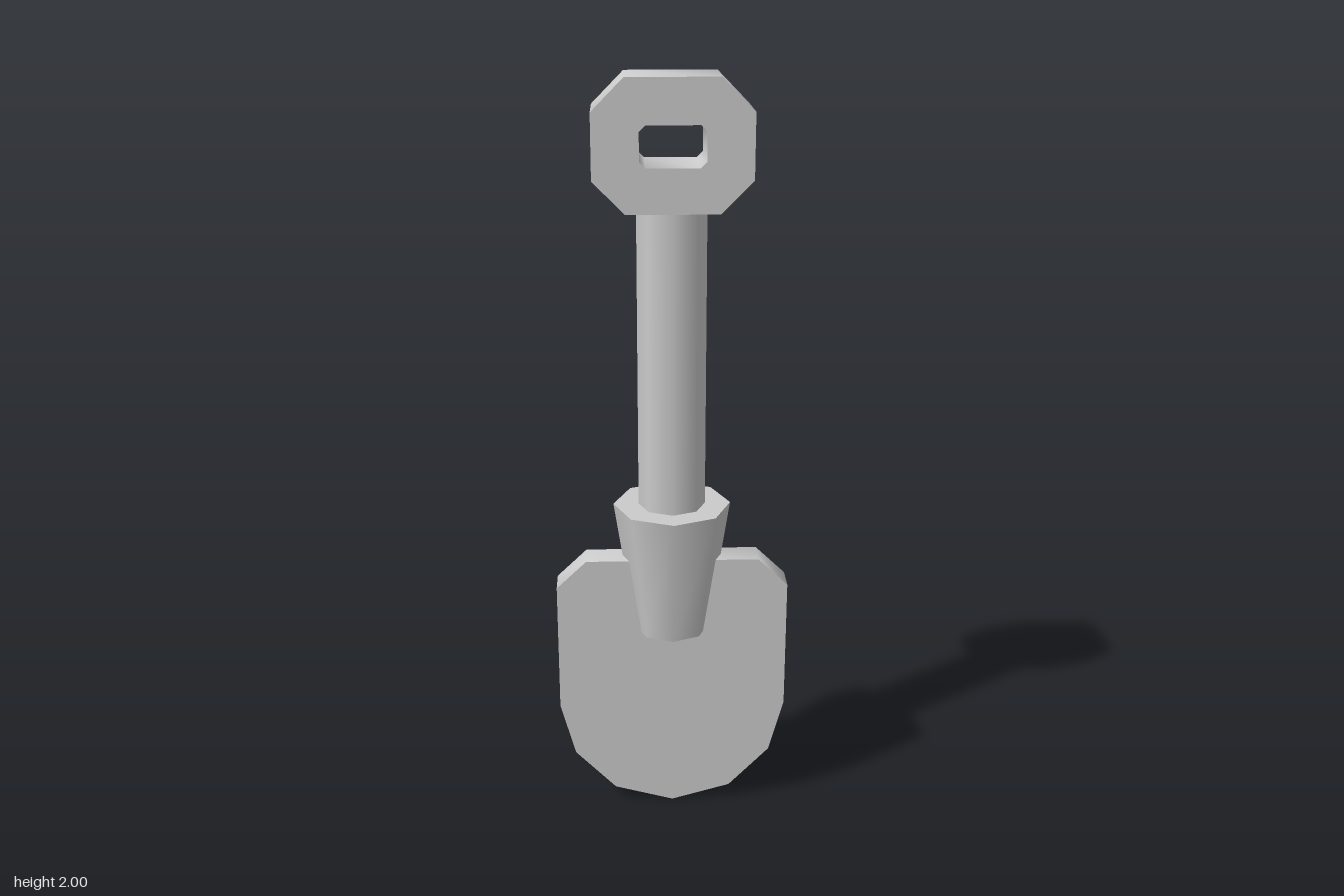
import * as THREE from 'three';
import { toCreasedNormals } from 'three/addons/utils/BufferGeometryUtils.js';

const SIDES = 8;

export function createModel() {
  const group = new THREE.Group();
  group.name = 'shovel';
  const material = new THREE.MeshStandardMaterial({ color: 0xcccccc });

  const add = (name, geometry, y = 0) => {
    const mesh = new THREE.Mesh(geometry, material);
    mesh.name = name;
    mesh.position.y = y;
    group.add(mesh);
  };

  // Closed outline from its right half, mirrored to the left
  const mirrored = (half) => [
    ...half,
    ...half.filter(([x]) => x > 0).reverse().map(([x, y]) => [-x, y]),
  ].map(([x, y]) => new THREE.Vector2(x, y));

  // Plate centred on z = 0, smooth around the rim and sharp at the faces
  const plate = (shape, depth) => toCreasedNormals(
    new THREE.ExtrudeGeometry(shape, { depth, bevelEnabled: false }).translate(0, 0, -depth / 2),
    THREE.MathUtils.degToRad(60),
  );

  // Tapered column between two heights
  const column = (topRadius, bottomRadius, y0, y1) => [
    new THREE.CylinderGeometry(topRadius, bottomRadius, y1 - y0, SIDES), (y0 + y1) / 2,
  ];

  // Blade
  const blade = new THREE.Shape(mirrored([
    [0, 0], [0.16, 0.045], [0.27, 0.16], [0.31, 0.31], [0.31, 0.67], [0.23, 0.747],
  ]));
  add('blade', plate(blade, 0.08));

  // Socket and shaft
  add('socket', ...column(0.155, 0.1, 0.535, 0.897));
  add('shaft', ...column(0.088, 0.088, 0.8, 1.685));

  // Grip with a slot through it
  const grip = new THREE.Shape(mirrored([
    [0.115, 1.68], [0.195, 1.76], [0.195, 1.92], [0.115, 2],
  ]));
  grip.holes.push(new THREE.Path(mirrored([
    [0.066, 1.79], [0.081, 1.805], [0.081, 1.875], [0.066, 1.89],
  ])));
  add('grip', plate(grip, 0.18));

  return group;
}
